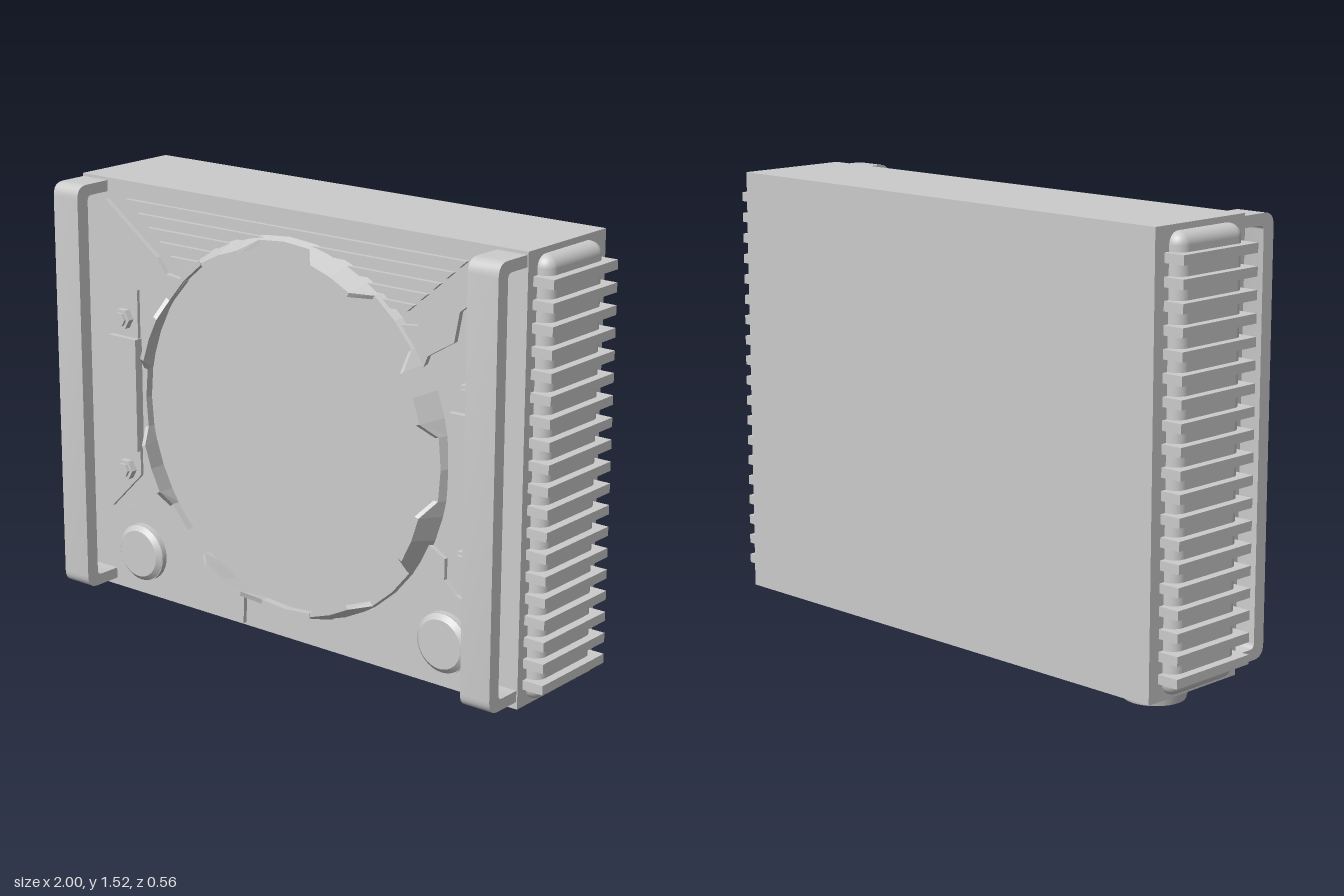
import * as THREE from 'three';
import { RoundedBoxGeometry } from 'three/addons/geometries/RoundedBoxGeometry.js';
import { toCreasedNormals } from 'three/addons/utils/BufferGeometryUtils.js';

const FACE = 0.135;      // z of the front face of the case
const RING_Y = 0.785;    // height of the ring centre

export function createModel() {
  const model = new THREE.Group();
  const material = new THREE.MeshStandardMaterial({ color: 0xcccccc });
  const flat = new THREE.MeshStandardMaterial({ color: 0xcccccc, flatShading: true });

  function add(name, geometry, x = 0, y = 0, z = 0, mat = material) {
    const mesh = new THREE.Mesh(geometry, mat);
    mesh.name = name;
    mesh.position.set(x, y, z);
    model.add(mesh);
    return mesh;
  }

  // Flat raised piece on the front face, mirrored by side
  function plate(name, points, side, height) {
    const shape = new THREE.Shape(points.map(([x, y]) => new THREE.Vector2(x * side, y)));
    add(name, new THREE.ExtrudeGeometry(shape, { depth: height, bevelEnabled: false }), 0, 0, FACE);
  }

  // Round or hexagonal boss facing forward
  function boss(name, rBase, rTop, height, segments, x, y, z, mat) {
    const geometry = new THREE.CylinderGeometry(rTop, rBase, height, segments);
    geometry.rotateX(Math.PI / 2);
    return add(name, geometry, x, y, z + height / 2, mat);
  }

  // Main case and its single foot
  add('case', new THREE.BoxGeometry(1.85, 1.47, 0.415), 0, 0.785, -0.0725);
  add('foot', new THREE.CylinderGeometry(0.112, 0.1, 0.05, 32), -0.78, 0.025, -0.085);

  // Notched ring
  add('notchedRing', ringGeometry(), 0, RING_Y, 0, flat);

  const ringX = y => Math.sqrt(Math.max(0, 0.63 ** 2 - (y - RING_Y) ** 2));
  const louvreX = y => 0.71 - (1.46 - y) * 1.17;

  // Arc where the lower panel meets the ring
  const arc = [];
  for (let i = 0; i <= 8; i++) {
    const a = THREE.MathUtils.degToRad(-72 + i * 6);
    arc.push([0.63 * Math.cos(a), RING_Y + 0.63 * Math.sin(a)]);
  }

  for (const side of [1, -1]) {
    // Side cushion with cooling fins
    add('sideCushion', new RoundedBoxGeometry(0.12, 1.435, 0.305, 4, 0.04), side * 0.91, 0.7825, -0.065);
    for (let i = 0; i < 19; i++) {
      add('coolingFin', new THREE.BoxGeometry(0.09, 0.031, 0.345), side * 0.955, 0.125 + i * 0.0722, -0.065);
    }

    // Front handle
    const handle = add('handle', handleGeometry(), side * 0.865, 0, 0);
    handle.rotation.y = -Math.PI / 2;

    // Raised front panels
    plate('upperPanel', [[0.805, 1.45], [0.57, 1.28], [0.53, 1.23], [0.44, 1.22], [0.51, 1.14],
      [0.55, 1.09], [0.57, 1.14], [0.67, 1.2], [0.69, 1.3], [0.805, 1.39]], side, 0.018);
    plate('sidePanel', [[0.81, 1.3], [0.67, 1.15], [0.67, 0.49], [0.81, 0.35]], side, 0.012);
    plate('sideCover', [[0.79, 0.58], [0.79, 0.98], [0.665, 0.98], [0.665, 0.58]], side, 0.032);
    plate('lowerPanel', [[0.69, 0.38], [0.77, 0.345], [0.77, 0.09], [0.44, 0.09], [0.36, 0.06],
      [0.2, 0.06], ...arc, [0.645, 0.49], [0.645, 0.42]], side, 0.015);

    // Bolts and knobs
    for (const y of [0.505, 1.045]) {
      boss('bolt', 0.037, 0.037, 0.025, 6, side * 0.727, y, FACE + 0.01, flat).rotation.z = Math.PI / 6;
      boss('boltCap', 0.025, 0.025, 0.01, 6, side * 0.727, y, FACE + 0.035, flat).rotation.z = Math.PI / 6;
    }
    boss('knobBase', 0.102, 0.102, 0.035, 32, side * 0.655, 0.215, FACE);
    boss('knobCap', 0.1, 0.083, 0.015, 32, side * 0.655, 0.215, FACE + 0.035);

    // Louvres above the ring, running from the slanted edge to the ring
    for (let i = 0; i < 5; i++) {
      const top = 1.46 - i * 0.042, low = top - 0.024;
      plate('louvre', [[louvreX(top), top], [ringX(top), top], [ringX(low), low], [louvreX(low), low]], side, 0.015);
    }
  }

  return model;
}

// Bracket profile in the z-y plane with rounded corners, extruded across x
function handleGeometry() {
  const [back, front, bottom, top, r] = [0.13, 0.28, 0.075, 1.51, 0.045];
  const wall = 0.048, q = 0.02;
  const s = new THREE.Shape();
  s.moveTo(back, bottom);
  s.lineTo(front - r, bottom);
  s.quadraticCurveTo(front, bottom, front, bottom + r);
  s.lineTo(front, top - r);
  s.quadraticCurveTo(front, top, front - r, top);
  s.lineTo(back, top);
  s.lineTo(back, top - 0.038);
  s.lineTo(front - wall - q, top - 0.038);
  s.quadraticCurveTo(front - wall, top - 0.038, front - wall, top - 0.038 - q);
  s.lineTo(front - wall, bottom + 0.038 + q);
  s.quadraticCurveTo(front - wall, bottom + 0.038, front - wall - q, bottom + 0.038);
  s.lineTo(back, bottom + 0.038);
  s.closePath();
  const geometry = new THREE.ExtrudeGeometry(s, { depth: 0.112, bevelEnabled: false, curveSegments: 6 });
  geometry.translate(0, 0, -0.056);
  return toCreasedNormals(geometry, 0.6);
}

// Tapered band whose rim rises into eight flat-topped crests
function ringGeometry() {
  const offsets = [-22.5, -13, -8, 0, 8, 13];   // degrees from each crest centre
  const heights = [0.165, 0.165, 0.22, 0.22, 0.22, 0.165];
  const positions = [], indices = [];
  const count = 8 * offsets.length;
  for (let i = 0; i < count; i++) {
    const k = i % offsets.length;
    const a = THREE.MathUtils.degToRad(22.5 + Math.floor(i / offsets.length) * 45 + offsets[k]);
    const z = heights[k];
    const rim = 0.648 - (z - FACE) * 0.42;
    const section = [[0.648, FACE - 0.005], [rim, z], [rim - 0.016, z], [0.622, FACE - 0.005]];
    for (const [r, h] of section) positions.push(r * Math.cos(a), r * Math.sin(a), h);
    const next = (i + 1) % count;
    for (let j = 0; j < 4; j++) {
      const p = i * 4 + j, q = next * 4 + j;
      const p2 = i * 4 + (j + 1) % 4, q2 = next * 4 + (j + 1) % 4;
      indices.push(p, q, q2, p, q2, p2);
    }
  }
  const geometry = new THREE.BufferGeometry();
  geometry.setAttribute('position', new THREE.Float32BufferAttribute(positions, 3));
  geometry.setIndex(indices);
  geometry.computeVertexNormals();
  return geometry;
}
